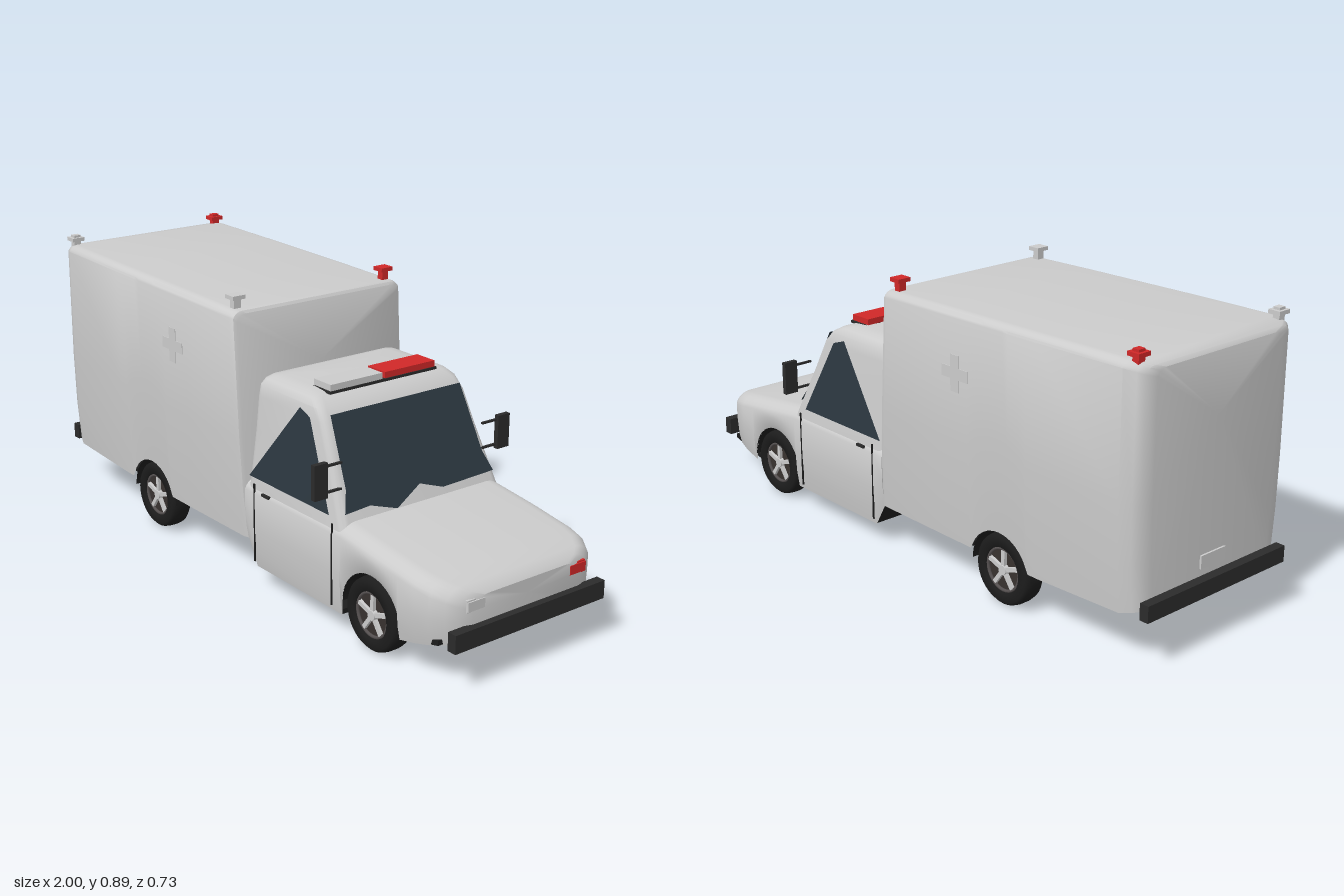
import * as THREE from 'three';
import { toCreasedNormals } from 'three/addons/utils/BufferGeometryUtils.js';

const mat = (color, side = THREE.FrontSide) => new THREE.MeshStandardMaterial({ color, side });
const paint = mat(0xcccccc, THREE.DoubleSide);
const grey = mat(0xcccccc);
const black = mat(0x1c1c1c, THREE.DoubleSide);
const plastic = mat(0x2b2b2b);
const glass = mat(0x2c3740, THREE.DoubleSide);
const red = mat(0xd02828);

// Linear lookup of column k in a table sorted by column 0
function lookup(table, v, k = 1) {
  if (v <= table[0][0]) return table[0][k];
  for (let i = 1; i < table.length; i++) {
    const a = table[i - 1], b = table[i];
    if (v <= b[0]) return a[k] + (b[k] - a[k]) * (v - a[0]) / (b[0] - a[0]);
  }
  return table[table.length - 1][k];
}

// Skin a list of rings, with fan caps at both ends
function loft(rings, closed, crease = 0.6) {
  const n = rings[0].length, pos = rings.flat(2), idx = [];
  for (let i = 0; i < rings.length - 1; i++) {
    for (let j = 0; j < (closed ? n : n - 1); j++) {
      const a = i * n + j, c = i * n + (j + 1) % n;
      idx.push(a, a + n, c, a + n, c + n, c);
    }
  }
  [0, rings.length - 1].forEach((r, end) => {
    const centre = [0, 1, 2].map(k => rings[r].reduce((s, p) => s + p[k], 0) / n);
    const c = pos.length / 3;
    pos.push(...centre);
    for (let j = 0; j < n; j++) {
      const a = r * n + j, b = r * n + (j + 1) % n;
      idx.push(c, end ? b : a, end ? a : b);
    }
  });
  const g = new THREE.BufferGeometry();
  g.setAttribute('position', new THREE.Float32BufferAttribute(pos, 3));
  g.setIndex(idx);
  return toCreasedNormals(g, crease);
}

// Upside-down U section at x: sides, rounded shoulders, roof
function section(x, yb, yt, hw, r, tuck) {
  const side = [[hw - tuck, yb], [hw - tuck * 0.3, yb + (yt - yb) * 0.2], [hw, yb + (yt - yb) * 0.45]];
  for (let i = 0; i <= 5; i++) {
    const a = i / 5 * Math.PI / 2;
    side.push([hw - r * 0.6 - r + r * Math.cos(a) + r * 0.6 * (1 - i / 5), yt - r + r * Math.sin(a)]);
  }
  const other = side.map(([z, y]) => [-z, y]).reverse();
  return [...side, ...other].map(([z, y]) => [x, y, z]);
}

const WHEEL_Y = 0.115, ARCH = 0.122, REAR_X = -0.445, FRONT_X = 0.665;

// Body shell along x with a wheel arch cut into the lower edge
// table rows: x, top, half width; base rows: x, bottom
function shell(table, base, archX, r, tuck, shift) {
  const xs = table.map(t => t[0]).filter(x => Math.abs(x - archX) > ARCH + 0.005);
  for (let i = 0; i <= 16; i++) xs.push(archX - ARCH * Math.cos(i / 16 * Math.PI));
  xs.push(archX - ARCH - 0.001, archX + ARCH + 0.001);
  xs.sort((a, b) => a - b);
  return loft(xs.map(x => {
    const d = Math.abs(x - archX);
    const arch = d <= ARCH + 1e-6 ? WHEEL_Y + Math.sqrt(Math.max(0, ARCH * ARCH - d * d)) : 0;
    const s = section(x, Math.max(lookup(base, x), arch), lookup(table, x, 1), lookup(table, x, 2), r, tuck);
    return s.map(([px, y, z]) => [px + shift(px, y), y, z]);
  }), false);
}

export function createModel() {
  const model = new THREE.Group();
  const add = (name, geo, material, x = 0, y = 0, z = 0, parent = model) => {
    const m = new THREE.Mesh(geo, material);
    m.name = name;
    m.position.set(x, y, z);
    parent.add(m);
    return m;
  };
  const box = (name, material, w, h, d, x, y, z, parent) =>
    add(name, new THREE.BoxGeometry(w, h, d), material, x, y, z, parent);

  // Rear compartment, front wall leaning back
  add('rearCompartment', shell(
    [[-0.97, 0.845, 0.25], [-0.962, 0.855, 0.285], [-0.945, 0.862, 0.303], [-0.91, 0.867, 0.316], [-0.6, 0.862, 0.32],
      [-0.2, 0.855, 0.32], [0.03, 0.85, 0.318], [0.046, 0.848, 0.313], [0.052, 0.84, 0.303]],
    [[-0.97, 0.175], [-0.86, 0.148], [0.05, 0.15]], REAR_X, 0.02, 0.015,
    (x, y) => x > 0 ? 0.06 * (0.85 - y) : 0), paint);

  // Doors and bonnet
  add('cabLower', shell(
    [[0.085, 0.345, 0.306], [0.13, 0.345, 0.306], [0.54, 0.345, 0.306], [0.7, 0.326, 0.306], [0.85, 0.306, 0.302],
      [0.9, 0.298, 0.292], [0.94, 0.286, 0.268], [0.962, 0.276, 0.24], [0.975, 0.262, 0.2]],
    [[0.085, 0.15], [0.13, 0.07], [0.6, 0.07], [0.78, 0.09], [0.975, 0.135]], FRONT_X, 0.035, 0.012, () => 0), paint);

  // Cab roof and pillars: y, front x, half width, back x
  const cab = [[0.3, 0.562, 0.302, 0.085], [0.345, 0.54, 0.297, 0.088], [0.5, 0.467, 0.277, 0.09], [0.6, 0.42, 0.268, 0.092],
    [0.635, 0.39, 0.262, 0.094], [0.653, 0.36, 0.248, 0.1], [0.662, 0.335, 0.23, 0.11], [0.666, 0.3, 0.2, 0.13]];
  add('cabUpper', loft(cab.map(([y, xf, hw, xb]) => {
    const ring = [], r = 0.025;
    [[xf - r, hw - r], [xb + r, hw - r], [xb + r, r - hw], [xf - r, r - hw]].forEach(([cx, cz], q) => {
      for (let i = 0; i <= 4; i++) {
        const a = (q + i / 4) * Math.PI / 2;
        ring.push([cx + r * Math.cos(a), y, cz + r * Math.sin(a)]);
      }
    });
    return ring;
  }), true), paint);

  // Window panes: flat outlines draped on the cab
  const pane = (name, outline, drape) => {
    const g = new THREE.ShapeGeometry(new THREE.Shape(outline.map(p => new THREE.Vector2(...p))));
    const p = g.attributes.position;
    for (let i = 0; i < p.count; i++) p.setXYZ(i, ...drape(p.getX(i), p.getY(i)));
    g.computeVertexNormals();
    add(name, g, glass);
  };
  pane('windscreen', [[-0.243, 0.622], [-0.258, 0.43], [-0.28, 0.372], [-0.08, 0.367], [0, 0.393], [0.1, 0.348],
    [0.19, 0.375], [0.282, 0.37], [0.258, 0.43], [0.243, 0.622]], (z, y) => [0.546 - (y - 0.345) * 0.47 + 0.002, y, z]);
  for (const s of [1, -1]) {
    pane('sideWindow', [[0.1, 0.357], [0.485, 0.357], [0.36, 0.605], [0.31, 0.622]],
      (x, y) => [x, y, s * (lookup(cab, y, 2) + 0.004)]);
  }

  // Black underside: central core, floor strips and arch liners
  const slab = (name, pts, half) => add(name, new THREE.ExtrudeGeometry(
    new THREE.Shape(pts.map(p => new THREE.Vector2(...p))), { depth: half * 2, bevelEnabled: false }), black, 0, 0, -half);
  slab('chassis', [[-0.94, 0.172], [-0.86, 0.152], [0.09, 0.152], [0.135, 0.075], [0.6, 0.075], [0.78, 0.095], [0.95, 0.135],
    [0.94, 0.2], [0.8, 0.25], [-0.94, 0.25]], 0.2);
  const floors = [[[-0.95, 0.172], [-0.86, 0.15], [-0.567, 0.15]], [[-0.323, 0.15], [0.085, 0.15], [0.13, 0.072], [0.543, 0.072]],
    [[0.787, 0.093], [0.93, 0.128]]];
  floors.forEach((line, i) => slab('floor', [...line, ...line.map(([x, y]) => [x, y + 0.015]).reverse()], i === 1 ? 0.293 : 0.28));

  // Wheels
  const h = 0.036;
  const tyre = new THREE.LatheGeometry([[0.066, -h], [0.098, -h], [0.107, -h * 0.75], [0.11, -h * 0.3], [0.11, h * 0.3],
    [0.107, h * 0.75], [0.098, h], [0.072, h], [0.066, h * 0.6]].map(p => new THREE.Vector2(...p)), 36).rotateX(Math.PI / 2);
  const disc = new THREE.CylinderGeometry(0.068, 0.068, 0.04, 32).rotateX(Math.PI / 2);
  const rimRing = new THREE.TorusGeometry(0.065, 0.005, 8, 32);
  const hub = new THREE.CylinderGeometry(0.015, 0.018, 0.02, 16).rotateX(Math.PI / 2);
  const spoke = new THREE.BoxGeometry(0.013, 0.056, 0.01).translate(0, 0.036, 0);
  const liner = new THREE.CylinderGeometry(ARCH, ARCH, 0.1, 24, 1, true, -Math.PI / 2, Math.PI).rotateX(-Math.PI / 2);
  for (const x of [REAR_X, FRONT_X]) for (const s of [1, -1]) {
    const wheel = new THREE.Group();
    wheel.name = 'wheel';
    wheel.position.set(x, WHEEL_Y, s * 0.26);
    if (s < 0) wheel.rotation.y = Math.PI;
    model.add(wheel);
    add('tyre', tyre, black, 0, 0, 0, wheel);
    add('rimDisc', disc, mat(0x38322f), 0, 0, -0.002, wheel);
    add('rimRing', rimRing, mat(0x555050), 0, 0, h * 0.7, wheel);
    add('hub', hub, grey, 0, 0, 0.022, wheel);
    for (let i = 0; i < 5; i++) add('spoke', spoke, grey, 0, 0, 0.024, wheel).rotation.z = i * Math.PI * 0.4;
    add('archLiner', liner, black, x, WHEEL_Y, s * 0.245);
  }

  // Bumpers and rear plate
  box('frontBumper', plastic, 0.03, 0.055, 0.56, 0.982, 0.157, 0);
  box('rearBumper', plastic, 0.03, 0.05, 0.57, -0.985, 0.182, 0);
  box('rearPlate', grey, 0.012, 0.04, 0.1, -0.97, 0.25, 0);

  // Lamps, red on the right side
  for (const s of [1, -1]) {
    const lamp = s > 0 ? grey : red;
    box('roofLight', lamp, 0.078, 0.02, 0.19, 0.318, 0.675, s * 0.1);
    box('headlight', lamp, 0.03, 0.028, 0.06, 0.962, 0.239, s * 0.19);
    box('headlightLens', lamp, 0.03, 0.036, 0.03, 0.958, 0.239, s * 0.205);
    for (const [x, y] of [[-0.93, 0.865], [0.012, 0.85]]) {
      box('beaconBase', lamp, 0.022, 0.045, 0.024, x, y + 0.01, s * 0.28);
      box('beaconTop', lamp, 0.04, 0.012, 0.044, x, 0.884, s * 0.28);
    }

    // Mirrors on two arms
    box('mirror', plastic, 0.016, 0.105, 0.046, 0.5, 0.473, s * 0.344);
    for (const y of [0.433, 0.511]) box('mirrorArm', plastic, 0.008, 0.006, 0.07, 0.496, y, s * 0.3);

    // Door seams and handle
    for (const x of [0.132, 0.506]) box('doorSeam', black, 0.005, 0.25, 0.004, x, 0.215, s * 0.305);
    box('doorHandle', plastic, 0.035, 0.008, 0.008, 0.19, 0.318, s * 0.305);

    // Raised cross on the compartment side
    box('sideCross', grey, 0.035, 0.11, 0.006, -0.275, 0.675, s * 0.319);
    box('sideCross', grey, 0.11, 0.035, 0.006, -0.275, 0.675, s * 0.319);
  }
  box('roofLightBase', plastic, 0.085, 0.008, 0.4, 0.318, 0.662, 0);
  return model;
}
